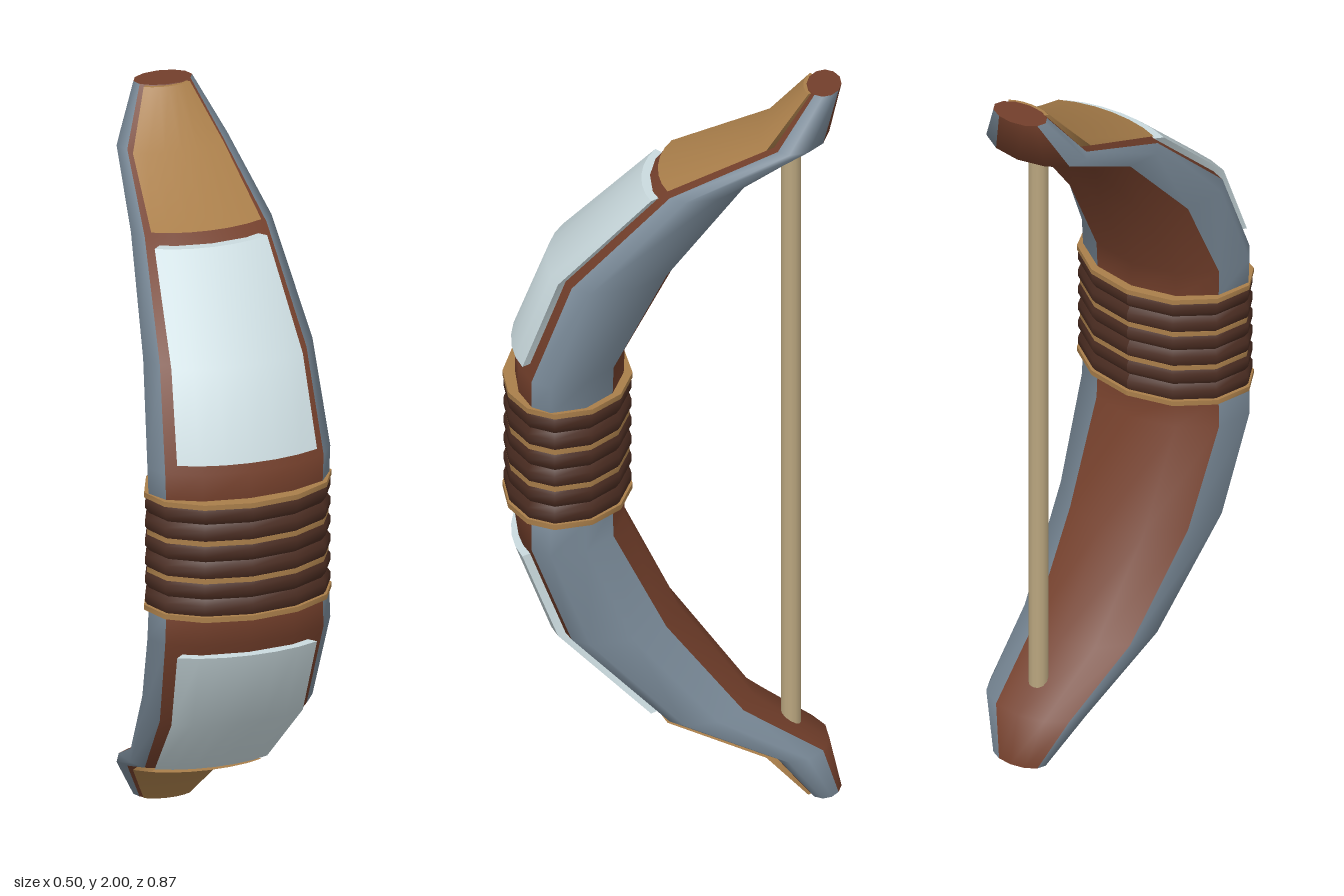
import * as THREE from 'three';
import { mergeGeometries } from 'three/addons/utils/BufferGeometryUtils.js';

const mat = (name, color, side = THREE.FrontSide) => {
  const m = new THREE.MeshStandardMaterial({ color, side });
  m.name = name;
  return m;
};

// Upper half of the bow: y, centre z, half width, front depth, back depth
const half = [
  [1.0, 0.30, 0.215, 0.085, 0.165],
  [1.13, 0.30, 0.222, 0.09, 0.168],
  [1.16, 0.30, 0.24, 0.10, 0.177],
  [1.24, 0.30, 0.243, 0.10, 0.18],
  [1.5, 0.20, 0.225, 0.097, 0.22],
  [1.745, -0.04, 0.187, 0.08, 0.17],
  [1.865, -0.305, 0.147, 0.06, 0.097],
  [2.0, -0.388, 0.078, 0.043, 0.045],
];
const flip = s => [2 - s[0], ...s.slice(1)];
const bow = [...half.slice(1).reverse().map(flip), ...half];

// Interpolated upper section; o pushes the section outward
function at(y, o = 0) {
  const i = Math.max(1, half.findIndex(s => s[0] >= y));
  const a = half[i - 1], b = half[i], t = (y - a[0]) / (b[0] - a[0]);
  const s = a.map((v, k) => v + (b[k] - v) * t);
  s[5] = o;
  return s;
}

// Skin through horizontal sections; columns are [angle from +z toward +x, offset]
function loft(sections, cols) {
  const pos = [], idx = [], n = cols.length;
  for (const [y, c, hw, rf, rb, o = 0] of sections) {
    for (const [deg, off] of cols) {
      const a = THREE.MathUtils.degToRad(deg), s = Math.sin(a), k = Math.cos(a);
      pos.push((hw + o + off) * s, y, c + ((k > 0 ? rf : rb) + o + off) * k);
    }
  }
  for (let i = 0; i < sections.length - 1; i++) {
    for (let j = 0; j < n - 1; j++) {
      const a = i * n + j, b = a + 1, d = a + n, e = d + 1;
      idx.push(a, b, e, a, e, d);
    }
  }
  const g = new THREE.BufferGeometry();
  g.setAttribute('position', new THREE.Float32BufferAttribute(pos, 3));
  g.setIndex(idx);
  g.computeVertexNormals();
  return g;
}

const arc = (from, to, off = 0, step = 30) => {
  const cols = [];
  for (let d = from; d <= to; d += step) cols.push([d, off]);
  return cols;
};
const ring = arc(-180, 180);

// Raised plate with crisp sides and ends on the front of a limb
function plate(sections, t) {
  const face = arc(-45, 45, t, 15), first = sections[0], last = sections.at(-1);
  const sink = s => [...s.slice(0, 5), (s[5] || 0) - 0.04];
  return mergeGeometries([
    loft(sections, face),
    loft(sections, [[45, t], [45, t - 0.04]]),
    loft(sections, [[-45, t - 0.04], [-45, t]]),
    loft([last, sink(last)], face),
    loft([sink(first), first], face),
  ]);
}

export function createModel() {
  const group = new THREE.Group();
  const wood = mat('reddish brown wood', 0x733f2b);
  const steel = mat('blue grey', 0x788896);
  const pale = mat('pale silver', 0xcadade);
  const tan = mat('tan', 0xa97e4a);
  const leather = mat('dark leather', 0x4a2c21);
  const cord = mat('string beige', 0xbaa67f);
  const add = (name, geo, m) => {
    const mesh = new THREE.Mesh(geo, m);
    mesh.name = name;
    group.add(mesh);
    return mesh;
  };

  // Bow body, split lengthwise by colour
  add('bowFront', loft(bow, arc(-60, 60)), wood);
  add('bowBack', loft(bow, arc(150, 240)), wood);
  add('leftSide', loft(bow, arc(60, 150)), steel);
  add('rightSide', loft(bow, arc(240, 300)), steel);

  // Tip caps
  const top = bow.at(-1), bottom = bow[0];
  const point = s => [s[0], s[1], 0, 0, 0];
  add('topCap', loft([top, point(top)], ring), wood);
  add('bottomCap', loft([point(bottom), bottom], ring), wood);

  // Raised plates on both limbs
  const silver = [at(1.27), at(1.5), at(1.73)];
  const gold = [at(1.757), at(1.865), at(1.998, -0.016)];
  const lower = list => list.map(flip).reverse();
  add('upperPlate', plate(silver, 0.022), pale);
  add('lowerPlate', plate(lower(silver), 0.022), pale);
  add('upperTipPlate', plate(gold, 0.024), tan);
  add('lowerTipPlate', plate(lower(gold), 0.024), tan);

  // Wrapped grip made of six bulging bands
  const grip = (y, o) => [y, 0.29, 0.235, 0.128, 0.176, o];
  const y0 = 0.845, h = 0.0525;
  for (let i = 0; i < 6; i++) {
    const y = y0 + i * h;
    const band = [[0, 0], [0.3, 0.011], [0.7, 0.011], [1, 0]].map(([f, o]) => grip(y + f * h, o));
    add('gripBand', loft(band, ring), leather);
  }

  // Thin bindings around the grip
  for (let i = 0; i < 4; i++) {
    const y = y0 + i * 2 * h, o = i % 3 ? 0.006 : 0.014, t = 0.007;
    const p = [grip(y - t, -0.04), grip(y - t, o), grip(y + t, o), grip(y + t, -0.04)];
    add('gripBinding', mergeGeometries([0, 1, 2].map(k => loft([p[k], p[k + 1]], ring))), tan);
  }

  // Bowstring
  add('bowString', new THREE.CylinderGeometry(0.026, 0.026, 1.64, 12), cord).position.set(0, 1, -0.304);

  return group;
}
